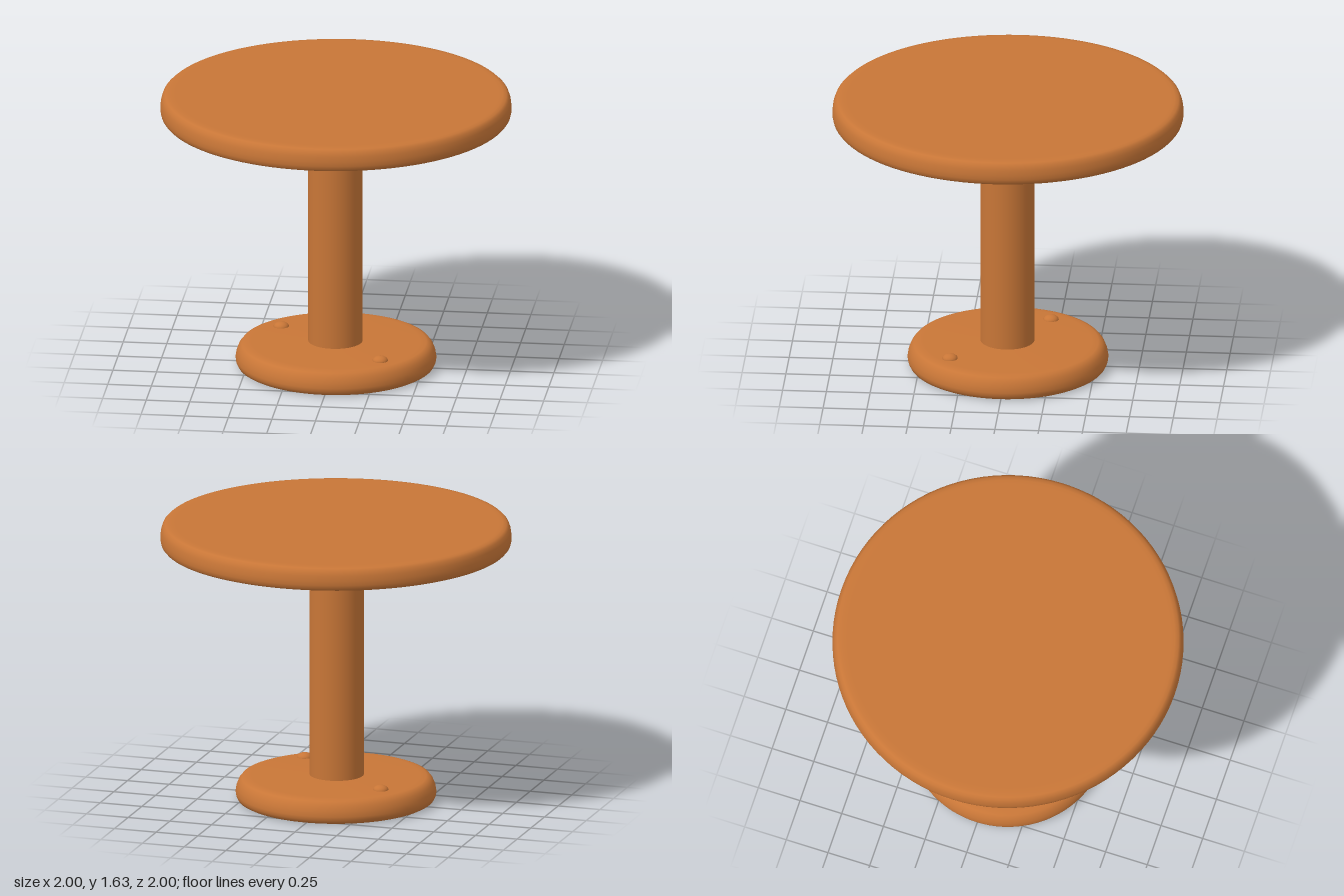
import * as THREE from 'three';

const wood = new THREE.MeshStandardMaterial({ color: 0xc87637 });
wood.name = 'orange wood';

// Closed disc turned from a [radius, height] profile listed from bottom to top
function turned(name, profile) {
  const points = profile.map(([r, y]) => new THREE.Vector2(r, y));
  const mesh = new THREE.Mesh(new THREE.LatheGeometry(points, 96), wood);
  mesh.name = name;
  return mesh;
}

export function createModel() {
  const table = new THREE.Group();
  table.name = 'pedestalTable';

  // Round top with softened rims
  table.add(turned('tableTop', [
    [0, 1.497], [0.95, 1.497], [0.97, 1.498], [0.985, 1.503], [0.995, 1.515], [1, 1.535],
    [1, 1.56], [0.996, 1.59], [0.987, 1.615], [0.972, 1.629], [0.95, 1.633], [0.92, 1.634], [0, 1.634],
  ]));

  // Round foot, wider near the floor and rising slightly to the column
  table.add(turned('base', [
    [0, 0.002], [0.52, 0.002], [0.545, 0.004], [0.56, 0.012], [0.569, 0.03], [0.572, 0.05],
    [0.567, 0.08], [0.555, 0.11], [0.537, 0.132], [0.515, 0.14], [0.48, 0.142], [0.25, 0.148], [0, 0.152],
  ]));

  // Straight column
  const column = new THREE.Mesh(new THREE.CylinderGeometry(0.155, 0.155, 1.4, 48, 1, true), wood);
  column.name = 'column';
  column.position.set(-0.003, 0.82, 0.003);
  table.add(column);

  // Two low pegs in the foot
  for (const [x, z] of [[0.29, 0.31], [-0.34, -0.22]]) {
    const peg = new THREE.Mesh(new THREE.SphereGeometry(1, 16, 8, 0, Math.PI * 2, 0, Math.PI / 2), wood);
    peg.name = 'basePeg';
    peg.scale.set(0.045, 0.03, 0.045);
    peg.position.set(x, 0.141, z);
    table.add(peg);
  }

  return table;
}
